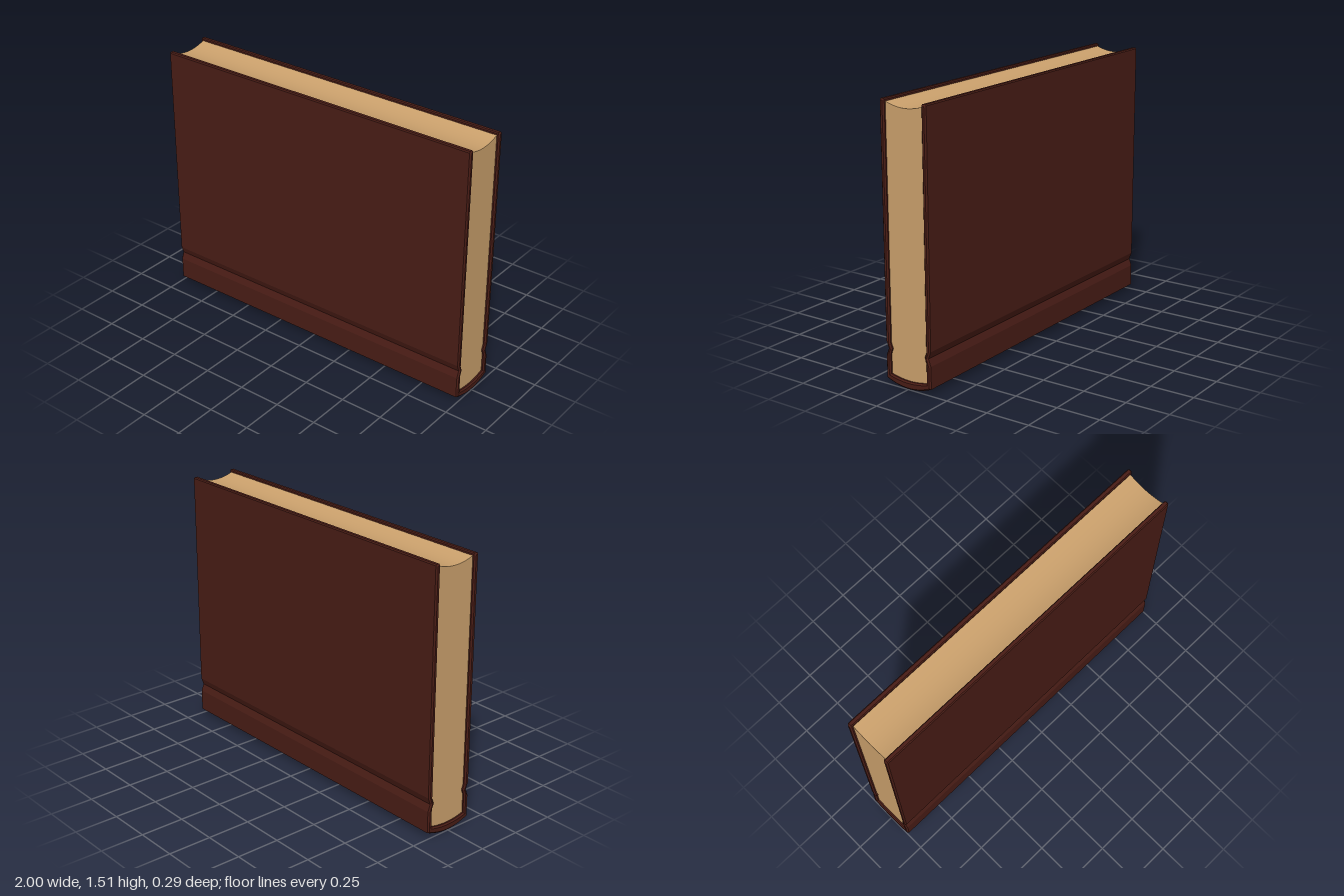
import * as THREE from 'three';
import { toCreasedNormals } from 'three/addons/utils/BufferGeometryUtils.js';

const HALF = 1;         // half length of the spine
const BEVEL = 0.008;
const GROOVE_Y = 0.018; // floor height of the spine grooves
const ARC_STEPS = 14;

// Shallow arc across the thickness, from -z to +z
function arc(halfWidth, edgeY, midY) {
  const pts = [];
  for (let i = 0; i <= ARC_STEPS; i++) {
    const t = -1 + (2 * i) / ARC_STEPS;
    pts.push(new THREE.Vector2(t * halfWidth, midY + (edgeY - midY) * t * t));
  }
  return pts;
}

// U outline: down the -z side, along the arc, up the +z side
function uOutline(side, halfWidth, edgeY, midY) {
  const right = side.map(([z, y]) => new THREE.Vector2(z, y));
  const left = right.map((p) => new THREE.Vector2(-p.x, p.y)).reverse();
  return [...left, ...arc(halfWidth, edgeY, midY), ...right];
}

// Moves every corner of a counter-clockwise outline inwards
function inset(pts, amount) {
  return pts.map((p, i) => {
    const a = pts[(i + pts.length - 1) % pts.length];
    const b = pts[(i + 1) % pts.length];
    const d0 = p.clone().sub(a).normalize();
    const d1 = b.clone().sub(p).normalize();
    const n = new THREE.Vector2(-d0.y - d1.y, d0.x + d1.x).normalize();
    const k = amount / Math.max(0.5, -n.x * d0.y + n.y * d0.x);
    return p.clone().addScaledVector(n, k);
  });
}

// Skins closed (z, y) outlines placed along x and caps both ends
function loft(sections) {
  const pos = [];
  const put = (s, i) => pos.push(s.x, s.pts[i].y, s.pts[i].x);
  const n = sections[0].pts.length;
  for (let k = 0; k < sections.length - 1; k++) {
    const s = sections[k], t = sections[k + 1];
    for (let i = 0; i < n; i++) {
      const j = (i + 1) % n;
      put(s, i); put(t, i); put(t, j);
      put(s, i); put(t, j); put(s, j);
    }
  }
  const first = sections[0], last = sections[sections.length - 1];
  for (const [a, b, c] of THREE.ShapeUtils.triangulateShape(first.pts, [])) {
    put(first, a); put(first, b); put(first, c);
    put(last, a); put(last, c); put(last, b);
  }
  const geo = new THREE.BufferGeometry();
  geo.setAttribute('position', new THREE.Float32BufferAttribute(pos, 3));
  return toCreasedNormals(geo, 0.35);
}

function coverGeometry() {
  const outer = uOutline(
    [[0.145, 0.16], [0.13, 0.2], [0.145, 0.24], [0.145, 1.506], [0.139, 1.512]],
    0.145, 0.036, 0.004);
  const inner = uOutline(
    [[0.117, 0.17], [0.106, 0.2], [0.117, 0.23], [0.117, 1.506], [0.122, 1.512]],
    0.117, 0.062, 0.046);
  const full = [...outer, ...inner.reverse()];
  const grooved = full.map((p) => new THREE.Vector2(p.x, Math.max(p.y, GROOVE_Y)));
  const end = inset(full, BEVEL);

  const sections = [{ x: -HALF, pts: end }, { x: -HALF + BEVEL, pts: full }];
  // Three pairs of fine grooves across the spine
  for (const centre of [0.052, 0.448, 0.843]) {
    for (const g of [centre - 0.033, centre + 0.033]) {
      const a = g - 0.004, b = g + 0.004;
      sections.push({ x: a, pts: full }, { x: a, pts: grooved },
        { x: b, pts: grooved }, { x: b, pts: full });
    }
  }
  sections.push({ x: HALF - BEVEL, pts: full }, { x: HALF, pts: end });
  return loft(sections);
}

function pagesGeometry() {
  // Rounded back, side dents at the hinge, hollow fore edge
  const side = [[0.119, 0.17], [0.108, 0.2], [0.119, 0.23]];
  const pts = [
    ...arc(0.119, 0.06, 0.044),
    ...side.map(([z, y]) => new THREE.Vector2(z, y)),
    ...arc(0.119, 1.498, 1.475).reverse(),
    ...side.map(([z, y]) => new THREE.Vector2(-z, y)).reverse(),
  ];
  return loft([{ x: -0.984, pts }, { x: 0.984, pts }]);
}

export function createModel() {
  const book = new THREE.Group();
  book.name = 'book';

  const cover = new THREE.Mesh(coverGeometry(),
    new THREE.MeshStandardMaterial({ color: 0x481c15 }));
  cover.name = 'cover';

  const pages = new THREE.Mesh(pagesGeometry(),
    new THREE.MeshStandardMaterial({ color: 0xc99f6b }));
  pages.name = 'pages';

  book.add(cover, pages);
  book.position.y = -0.004;

  const model = new THREE.Group();
  model.name = 'closedBook';
  model.add(book);
  return model;
}
